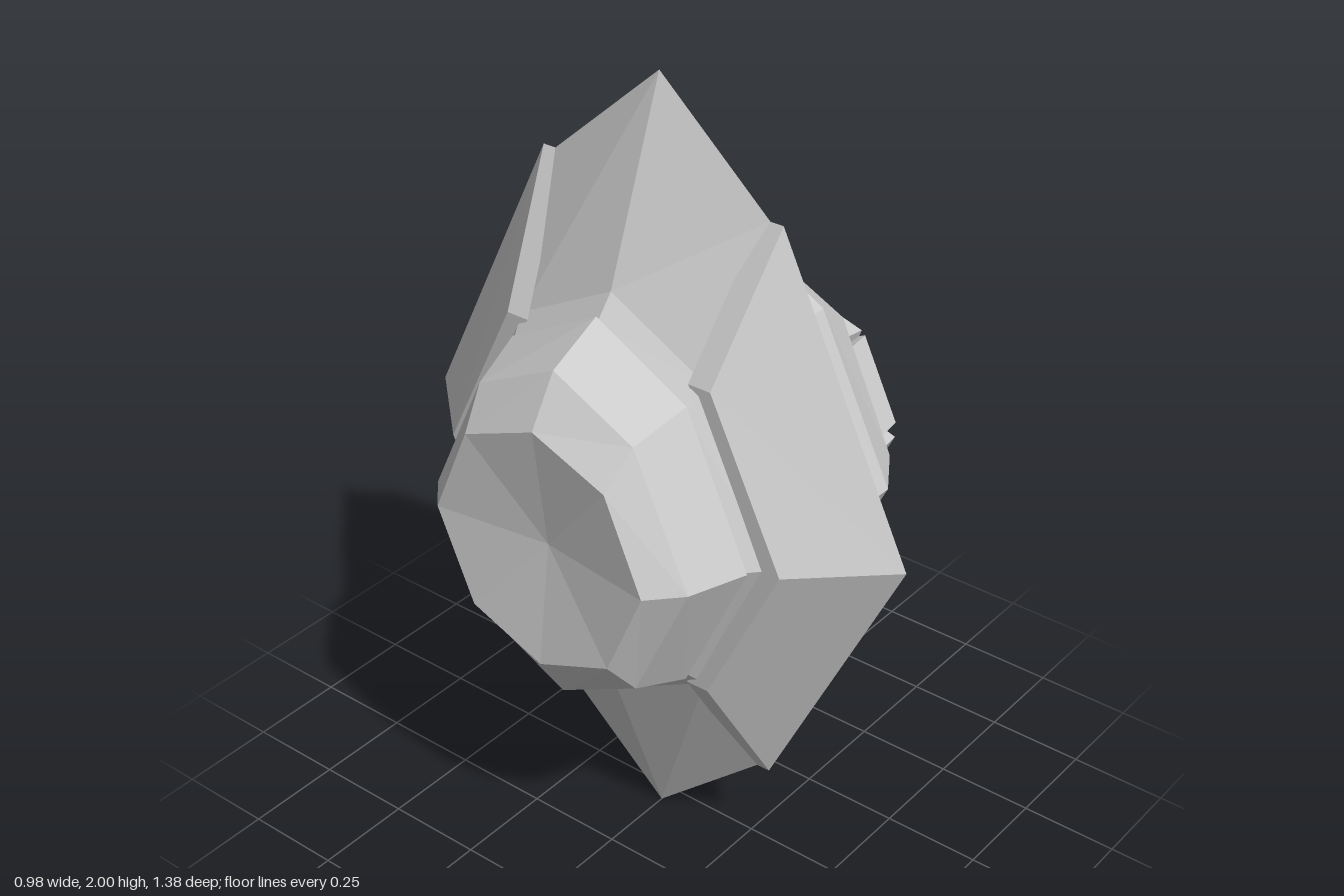
import * as THREE from 'three';

const material = new THREE.MeshStandardMaterial({ color: 0xcccccc, flatShading: true });

// Skin a series of [x, ring] sections, each ring a loop of [y, z] about the axle, and cap both ends
function loft(name, sections) {
  const mid = sections[Math.floor(sections.length / 2)][1];
  const area = mid.reduce((s, p, i) => {
    const q = mid[(i + 1) % mid.length];
    return s + p[0] * q[1] - p[1] * q[0];
  }, 0);
  const rings = sections.map(([x, ring]) => {
    const pts = ring.map(([y, z]) => [x, y, z]);
    return area < 0 ? pts.reverse() : pts;
  });
  const n = mid.length, pos = [];
  const tri = (a, b, c) => pos.push(...a, ...b, ...c);
  for (let r = 0; r < rings.length - 1; r++) {
    const a = rings[r], b = rings[r + 1];
    for (let i = 0; i < n; i++) {
      const j = (i + 1) % n;
      tri(a[i], a[j], b[j]);
      tri(a[i], b[j], b[i]);
    }
  }
  const first = rings[0], last = rings[rings.length - 1];
  for (let k = 1; k < n - 1; k++) {
    const i = (1 + k) % n, j = (2 + k) % n;
    tri(first[1], first[j], first[i]);
    tri(last[1], last[i], last[j]);
  }
  const geo = new THREE.BufferGeometry();
  geo.setAttribute('position', new THREE.Float32BufferAttribute(pos, 3));
  geo.computeVertexNormals();
  const mesh = new THREE.Mesh(geo, material);
  mesh.name = name;
  return mesh;
}

// Hexagon with points at top and bottom and at both sides
const hexagon = (top, yc, zc, side) =>
  [[top, 0], [yc, zc], [0, side], [-yc, zc], [-top, 0], [-yc, -zc], [0, -side], [yc, -zc]];

const octagon = (r) => Array.from({ length: 8 }, (_, i) =>
  [r * Math.cos(i * Math.PI / 4), r * Math.sin(i * Math.PI / 4)]);

export function createModel() {
  const group = new THREE.Group();
  const axle = new THREE.Group();
  axle.name = 'wheelBody';
  axle.position.y = 1;
  group.add(axle);

  // Main body with its tall ridge and stepped rear shell, dented at the end
  const body = [
    [-0.45, 0, 0, 0, 0],
    [-0.49, 0.31, 0.23, 0.20, 0.30],
    [-0.415, 0.43, 0.32, 0.22, 0.37],
    [-0.27, 0.50, 0.365, 0.25, 0.42],
    [-0.27, 0.48, 0.35, 0.25, 0.41],
    [-0.22, 0.54, 0.40, 0.265, 0.455],
    [-0.05, 1.0, 0.735, 0.30, 0.65],
    [0.14, 0.555, 0.41, 0.27, 0.465],
    [0.21, 0.555, 0.405, 0.265, 0.465],
    [0.335, 0.42, 0.32, 0.235, 0.385],
  ];
  axle.add(loft('mainBody', body.map(([x, ...h]) => [x, hexagon(...h)])));

  // Raised ridged panels over both sides
  const panel = [[-0.24, 0.40, 0.29, 0.485], [-0.05, 0.735, 0.335, 0.69], [0.14, 0.41, 0.295, 0.49]];
  for (const s of [1, -1]) {
    axle.add(loft(s > 0 ? 'frontRidgePanel' : 'backRidgePanel', panel.map(([x, y, z, m]) => [x, [
      [y, s * z], [0, s * m], [-y, s * z],
      [-y, s * (z - 0.06)], [0, s * (m - 0.06)], [y, s * (z - 0.06)],
    ]])));
  }

  // Plates standing around the hub: a chevron above and below, two flats on each side
  const t = 0.03;
  for (const u of [1, -1]) {
    axle.add(loft(u > 0 ? 'upperHubChevron' : 'lowerHubChevron',
      [[0.32, 0.32, 0.25], [0.44, 0.30, 0.235]].map(([x, apex, end]) => [x, [
        [u * end, 0.22], [u * apex, 0], [u * end, -0.22],
        [u * (end - t), -0.21], [u * (apex - t), 0], [u * (end - t), 0.21],
      ]])));
    for (const s of [1, -1]) {
      axle.add(loft('sideHubPlate', [[0.32, 0.245, 0.345], [0.44, 0.23, 0.33]].map(([x, za, zb]) => [x, [
        [u * 0.225, s * za], [u * 0.02, s * zb],
        [u * 0.01, s * (zb - t)], [u * 0.21, s * (za - t)],
      ]])));
    }
  }

  // Octagonal hub with a dished cap
  axle.add(loft('hubCore', [[0.32, octagon(0.25)], [0.445, octagon(0.25)]]));
  axle.add(loft('hubCap', [
    [0.435, octagon(0.285)], [0.49, octagon(0.255)], [0.455, octagon(0.18)],
  ]));
  return group;
}
